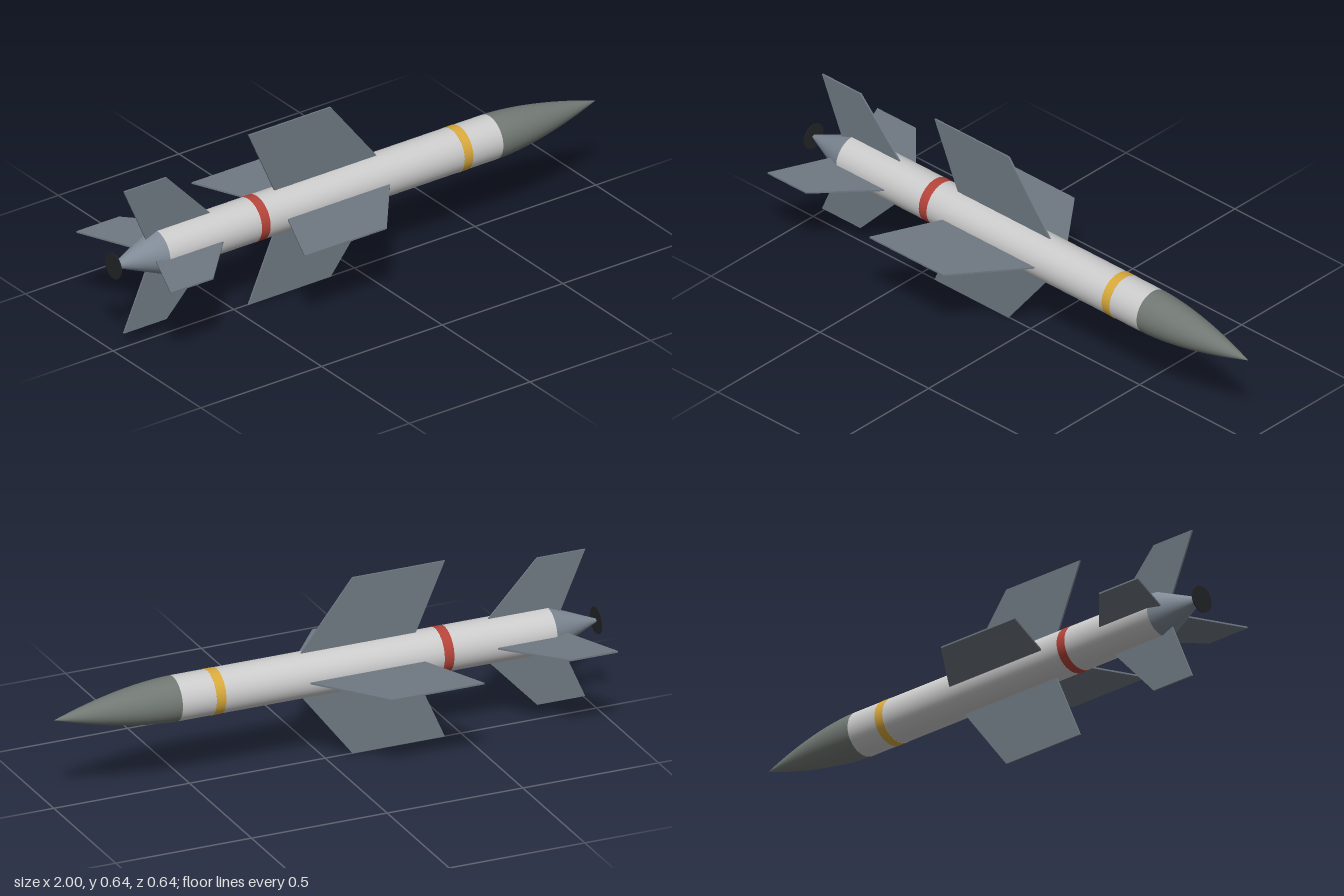
import * as THREE from 'three';

const AXIS_Y = 0.322;
const R = 0.079;

const material = (color, side = THREE.FrontSide) =>
  new THREE.MeshStandardMaterial({ color, side });

export function createModel() {
  const model = new THREE.Group();
  model.name = 'missile';
  const finMat = material(0x6f7983);

  const add = (name, geometry, mat) => {
    const mesh = new THREE.Mesh(geometry, mat);
    mesh.name = name;
    mesh.position.y = AXIS_Y;
    model.add(mesh);
    return mesh;
  };

  // Round section along x, from x0 (radius r0) to x1 (radius r1)
  const tube = (name, x0, x1, r0, r1, mat, open = false) => {
    const g = new THREE.CylinderGeometry(r1, r0, x1 - x0, 48, 1, open);
    g.rotateZ(-Math.PI / 2).translate((x0 + x1) / 2, 0, 0);
    return add(name, g, mat);
  };

  // Body and painted bands
  tube('body', -0.82, 0.56, R, R, material(0xcfd2cf));
  tube('redBand', -0.44, -0.405, R + 0.0008, R + 0.0008, material(0xb5443a));
  tube('yellowBand', 0.4, 0.435, R + 0.0008, R + 0.0008, material(0xd8a93c));

  // Tail cone and the exhaust disc at its end
  tube('tailCone', -0.998, -0.82, 0.006, R, material(0x7f8a96));
  tube('exhaustDisc', -1, -0.997, 0.047, 0.047, material(0x222427));

  // Curved nose, turned about the body axis
  const profile = [];
  for (let i = 0; i <= 20; i++) {
    const t = i / 20;
    profile.push(new THREE.Vector2(R * (1 - Math.pow(t, 1.7)), 0.56 + 0.44 * t));
  }
  add('noseCone', new THREE.LatheGeometry(profile, 48).rotateZ(-Math.PI / 2),
    material(0x717873, THREE.DoubleSide));

  // Four flat fins around the axis; outline points are (x, distance from axis)
  const finSet = (name, outline, thickness) => {
    const shape = new THREE.Shape(outline.map(([x, r]) => new THREE.Vector2(x, r)));
    const g = new THREE.ExtrudeGeometry(shape, { depth: thickness, bevelEnabled: false });
    g.translate(0, 0, -thickness / 2);
    for (let i = 0; i < 4; i++) {
      add(name + (i + 1), g, finMat).rotation.x = i * Math.PI / 2;
    }
  };
  finSet('wing', [[-0.32, 0.05], [0.113, 0.05], [-0.1, 0.322], [-0.44, 0.322]], 0.006);
  finSet('tailFin', [[-0.861, 0.05], [-0.573, 0.05], [-0.78, 0.269], [-0.957, 0.269]], 0.006);

  return model;
}
